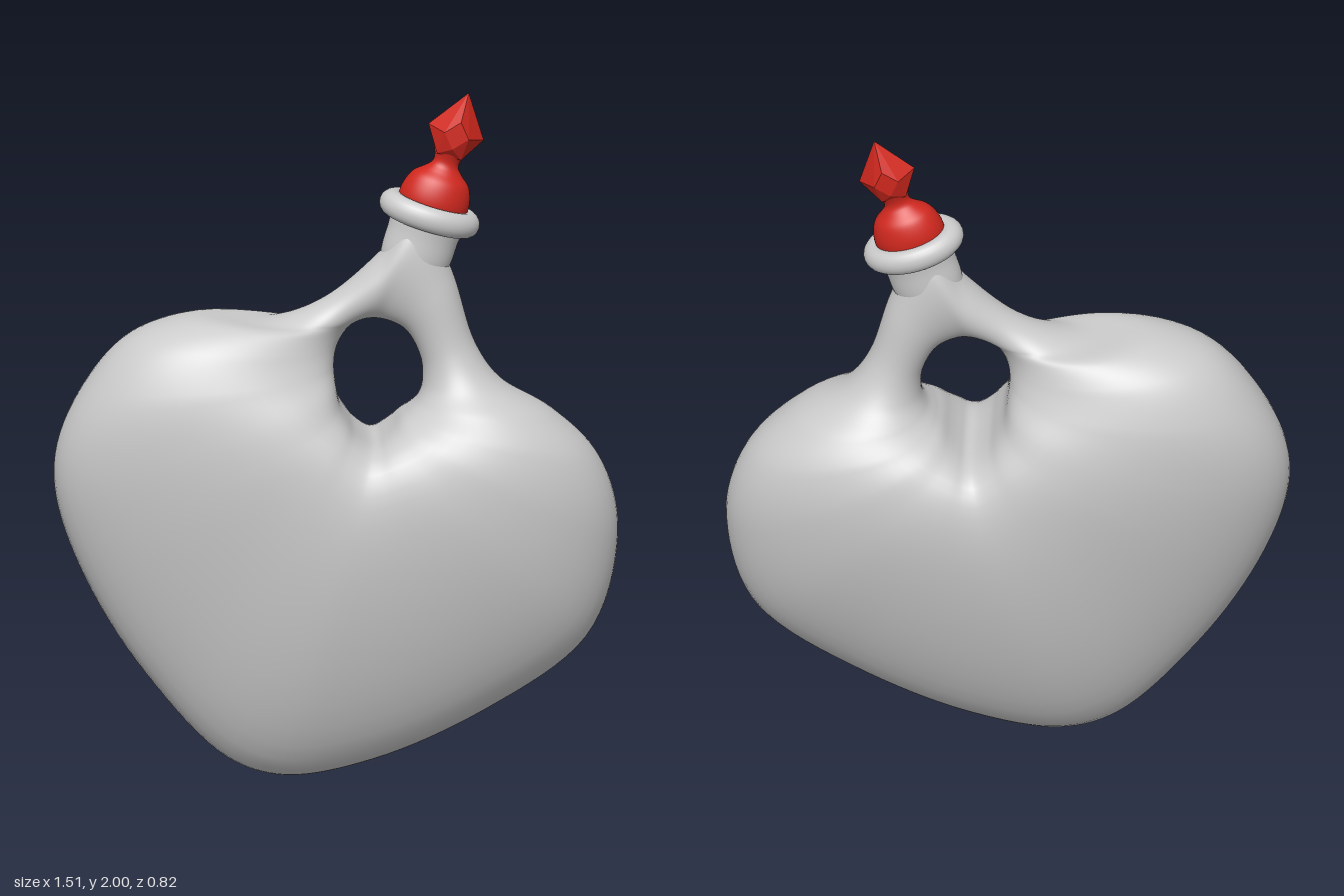
import * as THREE from 'three';
import { ConvexGeometry } from 'three/addons/geometries/ConvexGeometry.js';

const TURN = 0.379;           // the flat bottle is turned about the vertical axis
const LEAN = 0.037;           // and leans back slightly
const WIDEN = 1 / Math.cos(TURN);

// Sections around the handle hole: hole x, y, outline x, y, half thickness, skew to the hole
const SECTIONS = [
  [0.09, 1.0, -0.14, 0.0, 0.27, 2.2],
  [0.05, 1.03, -0.29, 0.055, 0.27, 2.2],
  [0.03, 1.06, -0.51, 0.31, 0.27, 2.1],
  [0.01, 1.1, -0.685, 0.63, 0.268, 1.8],
  [0.0, 1.15, -0.75, 0.89, 0.258, 1.5],
  [-0.005, 1.2, -0.685, 1.13, 0.235, 1.1],
  [0.0, 1.25, -0.55, 1.3, 0.19, 0.9],
  [0.015, 1.29, -0.39, 1.358, 0.14, 0.85],
  [0.04, 1.325, -0.19, 1.345, 0.09, 0.9],
  [0.065, 1.34, -0.03, 1.405, 0.07, 1],
  [0.09, 1.345, 0.12, 1.54, 0.08, 1],
  [0.13, 1.34, 0.225, 1.67, 0.085, 1],
  [0.185, 1.31, 0.31, 1.48, 0.08, 1],
  [0.225, 1.23, 0.37, 1.27, 0.08, 1],
  [0.23, 1.16, 0.435, 1.165, 0.11, 1],
  [0.215, 1.11, 0.58, 1.065, 0.175, 1.1],
  [0.19, 1.08, 0.7, 0.93, 0.222, 1.3],
  [0.17, 1.06, 0.75, 0.7, 0.252, 1.6],
  [0.15, 1.035, 0.665, 0.4, 0.265, 1.9],
  [0.13, 1.015, 0.4, 0.19, 0.27, 2.1],
  [0.11, 1.0, 0.1, 0.045, 0.27, 2.2],
];

// Heart body and handle: a closed ring of lens-shaped sections
function bodyGeometry() {
  const curve = (f) => new THREE.CatmullRomCurve3(SECTIONS.map(f), true);
  const hole = curve((s) => new THREE.Vector3(s[0] * WIDEN, s[1], s[4]));
  const outline = curve((s) => new THREE.Vector3(s[2] * WIDEN, s[3], s[5]));
  const rings = 168, sides = 56, position = [], index = [];
  for (let i = 0; i < rings; i++) {
    const a = hole.getPoint(i / rings), b = outline.getPoint(i / rings);
    const skew = b.z, power = 1 + 0.13 * (skew - 1);
    for (let j = 0; j < sides; j++) {
      const t = (j / sides) * Math.PI * 2;
      const along = Math.pow((1 - Math.cos(t)) / 2, skew);
      const sine = Math.sin(t);
      position.push(
        a.x + (b.x - a.x) * along,
        a.y + (b.y - a.y) * along,
        a.z * Math.sign(sine) * Math.pow(Math.abs(sine), power),
      );
      const i2 = (i + 1) % rings, j2 = (j + 1) % sides;
      const p = i * sides + j, q = i2 * sides + j, r = i2 * sides + j2, s = i * sides + j2;
      index.push(p, q, s, q, r, s);
    }
  }
  const geometry = new THREE.BufferGeometry();
  geometry.setAttribute('position', new THREE.Float32BufferAttribute(position, 3));
  geometry.setIndex(index);
  geometry.computeVertexNormals();
  return geometry;
}

function lathe(points, smooth) {
  let profile = points.map(([x, y]) => new THREE.Vector2(x, y));
  if (smooth) profile = new THREE.SplineCurve(profile).getPoints(40);
  return new THREE.LatheGeometry(profile, 48);
}

function add(parent, name, geometry, material) {
  const mesh = new THREE.Mesh(geometry, material);
  mesh.name = name;
  parent.add(mesh);
  return mesh;
}

export function createModel() {
  const grey = new THREE.MeshStandardMaterial({ color: 0xcccccc });
  const greyOpen = new THREE.MeshStandardMaterial({ color: 0xcccccc, side: THREE.DoubleSide });
  const red = new THREE.MeshStandardMaterial({ color: 0xd0281e, side: THREE.DoubleSide });
  const redFacets = new THREE.MeshStandardMaterial({ color: 0xd0281e, flatShading: true });

  const model = new THREE.Group();
  model.name = 'heartBottle';
  const bottle = new THREE.Group();
  bottle.name = 'bottle';
  bottle.rotation.set(-LEAN, -TURN, 0, 'YXZ');
  bottle.position.set(-0.011, 0, 0.028);
  model.add(bottle);

  add(bottle, 'body', bodyGeometry(), grey);

  // Tilted top, with its origin at the centre of the lip
  const top = new THREE.Group();
  top.name = 'bottleTop';
  top.position.set(0.25 * WIDEN, 1.65, 0);
  top.rotation.z = -0.31;
  top.scale.z = 0.76;
  bottle.add(top);

  // Neck, its foot narrowing away inside the handle
  add(top, 'neck', lathe([[0.05, -0.28], [0.088, -0.2], [0.102, -0.13], [0.104, -0.06], [0.112, 0]], true), greyOpen);
  // Rolled lip and the inside of the mouth
  const lip = add(top, 'lip', new THREE.TorusGeometry(0.112, 0.037, 20, 56), grey);
  lip.rotation.x = Math.PI / 2;
  add(top, 'mouth', lathe([[0.09, 0.02], [0.085, -0.05], [0, -0.05]]), greyOpen);

  // Stopper ball with its slim stem
  add(top, 'stopper', lathe([
    [0.08, -0.03], [0.1, 0.02], [0.101, 0.06], [0.085, 0.103], [0.056, 0.13],
    [0.04, 0.148], [0.038, 0.168], [0.05, 0.198],
  ], true), red);

  // Faceted diamond finial, front and back corners cut to small rhombi
  const points = [[0, 0.12, 0], [0.083, 0, 0], [-0.083, 0, 0]];
  for (const z of [-1, 1]) {
    points.push([0, 0.042, z * 0.07], [0, -0.042, z * 0.07]);
    for (const x of [-1, 1]) {
      points.push([x * 0.036, 0, z * 0.07], [x * 0.036, -0.07, z * 0.036]);
    }
  }
  const finial = add(top, 'finial',
    new ConvexGeometry(points.map((p) => new THREE.Vector3(...p))), redFacets);
  finial.position.y = 0.25;

  return model;
}
